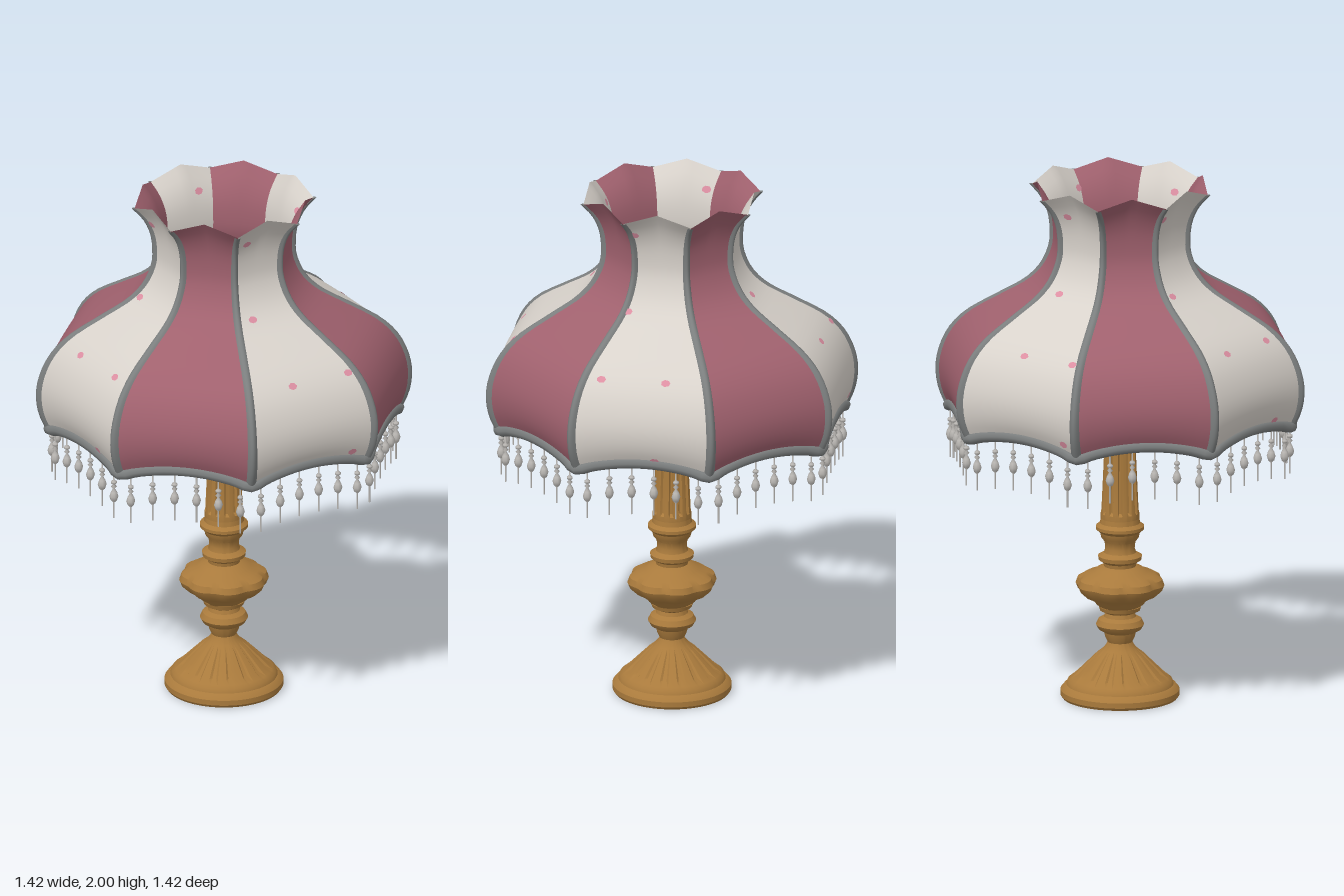
import * as THREE from 'three';
import { toCreasedNormals } from 'three/addons/utils/BufferGeometryUtils.js';

const mat = (name, color) => {
  const m = new THREE.MeshStandardMaterial({ color, side: THREE.DoubleSide });
  m.name = name;
  return m;
};
const SIDES = 8, STEP = Math.PI * 2 / SIDES;

// Shade profile at a corner: radius, height
const profile = new THREE.SplineCurve([
  [0.66, 1.08], [0.69, 1.15], [0.7, 1.23], [0.685, 1.31], [0.645, 1.39], [0.575, 1.46], [0.46, 1.53],
  [0.36, 1.59], [0.3, 1.65], [0.267, 1.72], [0.26, 1.78], [0.268, 1.85], [0.295, 1.91], [0.338, 1.958],
].map(([r, y]) => new THREE.Vector2(r, y)));

// Point on a panel: u across (0..1), v up (0..1); edges are scalloped
function panelPoint(k, u, v) {
  const p = profile.getPoint(v);
  const a = k * STEP, b = a + STEP;
  const s = (p.y - 1.08) / 0.878;
  const lift = 0.04 * 4 * u * (1 - u) * (1 - s) ** 4 + 0.042 * (1 - Math.abs(2 * u - 1)) * s ** 8;
  return new THREE.Vector3(
    p.x * THREE.MathUtils.lerp(Math.cos(a), Math.cos(b), u),
    p.y + lift,
    p.x * THREE.MathUtils.lerp(Math.sin(a), Math.sin(b), u));
}

// Surface from a point function, facing outward
function grid(fn, nu, nv) {
  const pos = [], idx = [];
  for (let j = 0; j <= nv; j++)
    for (let i = 0; i <= nu; i++) pos.push(...fn(i / nu, j / nv).toArray());
  for (let j = 0; j < nv; j++)
    for (let i = 0; i < nu; i++) {
      const a = j * (nu + 1) + i, c = a + nu + 1;
      idx.push(a, c, a + 1, a + 1, c, c + 1);
    }
  const g = new THREE.BufferGeometry();
  g.setAttribute('position', new THREE.Float32BufferAttribute(pos, 3));
  g.setIndex(idx);
  g.computeVertexNormals();
  return g;
}

// Turned shape; carve(angle, y) scales the radius for flutes and lobes
function turned(points, segments, carve) {
  const g = new THREE.LatheGeometry(points.map(([r, y]) => new THREE.Vector2(r, y)), segments);
  if (carve) {
    const p = g.attributes.position;
    for (let i = 0; i < p.count; i++) {
      const f = carve(Math.atan2(p.getZ(i), p.getX(i)), p.getY(i));
      p.setX(i, p.getX(i) * f);
      p.setZ(i, p.getZ(i) * f);
    }
  }
  return toCreasedNormals(g, 0.6);
}

export function createModel() {
  const cream = mat('cream fabric', 0xd8d2cb), rose = mat('rose fabric', 0xa0616e);
  const grey = mat('grey braid', 0x7b7e7e), gold = mat('antique gold', 0xa97a3c);
  const pink = mat('pink flower', 0xdc8fa2), glass = mat('bead glass', 0xbdbab6), bulbWhite = mat('bulb white', 0xdedad6);

  const model = new THREE.Group();
  model.name = 'tableLamp';
  const add = (name, geometry, material, parent = model) => {
    const m = new THREE.Mesh(geometry, material);
    m.name = name;
    parent.add(m);
    return m;
  };
  const shade = new THREE.Group();
  shade.name = 'shade';
  model.add(shade);

  // Panels and corner ribs
  for (let k = 0; k < SIDES; k++) {
    add('shadePanel', grid((u, v) => panelPoint(k, u, v), 10, 36), k % 2 ? cream : rose, shade);
    const a = k * STEP;
    add('cornerRib', grid((u, v) => {
      const w = u * 2 - 1, p = profile.getPoint(v);
      const half = THREE.MathUtils.lerp(0.021, 0.012, v);
      const r = p.x - Math.abs(w) * half * 0.383 + 0.011 * (1 - w ** 4);
      const t = w * half * 0.924;
      return new THREE.Vector3(r * Math.cos(a) - t * Math.sin(a), p.y, r * Math.sin(a) + t * Math.cos(a));
    }, 6, 36), grey, shade);
  }

  // Rolled braid along the lower edge
  const rim = [];
  for (let k = 0; k < SIDES; k++)
    for (let i = 0; i < 8; i++) rim.push(panelPoint(k, i / 8, 0).add(new THREE.Vector3(0, 0.004, 0)));
  add('rimBraid', new THREE.TubeGeometry(new THREE.CatmullRomCurve3(rim, true), 160, 0.022, 8, true), grey, shade);

  // Small flowers on the cream panels, inside and out: u, height
  const flower = new THREE.CircleGeometry(0.018, 7);
  const spots = [[0.8, 0.26], [0.6, 1.43], [0.08, 1.43], [0.75, 1.61], [0.78, 1.9], [0.16, 1.14]].slice(1);
  const shift = { 1: 0, 3: 0.1, 5: -0.06, 7: 0.25 };
  for (const k of [1, 3, 5, 7])
    for (const [u0, y] of spots) {
      const u = THREE.MathUtils.clamp(u0 + shift[k], 0.07, 0.93);
      let lo = 0, hi = 1;
      for (let n = 0; n < 20; n++) {
        const mid = (lo + hi) / 2;
        if (panelPoint(k, u, mid).y < y) lo = mid; else hi = mid;
      }
      const p = panelPoint(k, u, lo);
      const du = panelPoint(k, u + 0.01, lo).sub(p), dv = panelPoint(k, u, lo + 0.005).sub(p);
      const n = dv.cross(du).normalize();
      for (const s of [1, -1]) {
        const m = add('flower', flower, pink, shade);
        m.position.copy(p).addScaledVector(n, 0.003 * s);
        m.lookAt(m.position.clone().addScaledVector(n, s));
        m.scale.y = 0.8;
      }
    }

  // Bead fringe
  const strand = new THREE.LatheGeometry([
    [0.003, 0], [0.003, -0.03], [0.011, -0.037], [0.011, -0.044], [0.004, -0.05], [0.011, -0.058], [0.004, -0.066],
    [0.012, -0.08], [0.017, -0.097], [0.012, -0.113], [0.003, -0.122], [0.003, -0.185],
  ].map(([r, y]) => new THREE.Vector2(r, y)).reverse(), 8);
  for (let k = 0; k < SIDES; k++)
    for (let i = 0; i < 6; i++)
      add('beadStrand', strand, glass, shade).position.copy(panelPoint(k, (i + 0.5) / 6, 0)).add(new THREE.Vector3(0, -0.015, 0));

  // Fluted bell foot, open underneath
  const groove = (a, n, depth) => 1 - depth * (Math.cos(a * n) > 0.55 ? 1 : 0);
  add('foot', turned([
    [0.215, 0], [0.222, 0.01], [0.222, 0.03], [0.21, 0.045], [0.2, 0.05], [0.195, 0.065], [0.182, 0.075],
    [0.165, 0.09], [0.14, 0.115], [0.115, 0.14], [0.09, 0.165], [0.065, 0.185], [0.052, 0.2], [0.045, 0.215],
  ], 128, (a, y) => y > 0.08 && y < 0.17 ? groove(a, 16, 0.06) : 1), gold);

  // Stacked knops
  add('lowerKnop', turned([
    [0.045, 0.21], [0.055, 0.23], [0.06, 0.25], [0.08, 0.262], [0.09, 0.28], [0.08, 0.3], [0.06, 0.31],
    [0.055, 0.325], [0.075, 0.335], [0.08, 0.35],
  ], 48), gold);
  add('lobedKnop', turned([
    [0.075, 0.35], [0.09, 0.36], [0.1, 0.375], [0.135, 0.392], [0.16, 0.415], [0.168, 0.435], [0.16, 0.458],
    [0.13, 0.475], [0.1, 0.485], [0.085, 0.497], [0.06, 0.505],
  ], 96, (a, y) => y > 0.38 && y < 0.47 ? 1 - 0.06 * Math.abs(Math.sin(a * 4)) ** 3 : 1), gold);
  add('upperKnop', turned([
    [0.06, 0.505], [0.062, 0.518], [0.08, 0.53], [0.082, 0.545], [0.06, 0.558], [0.055, 0.575], [0.058, 0.6],
    [0.07, 0.615], [0.075, 0.635], [0.09, 0.648], [0.09, 0.66], [0.075, 0.672], [0.072, 0.69],
  ], 48), gold);

  // Fluted column
  add('column', turned([
    [0.072, 0.69], [0.072, 0.71], [0.07, 0.72], [0.064, 0.85], [0.058, 0.98], [0.054, 1.07], [0.054, 1.09],
  ], 96, (a, y) => y > 0.715 && y < 1.08 ? groove(a, 12, 0.14) : 1), gold);

  // Cup under the bulb
  add('cup', turned([
    [0.054, 1.08], [0.07, 1.09], [0.075, 1.105], [0.062, 1.12], [0.07, 1.135], [0.1, 1.15], [0.115, 1.175],
    [0.115, 1.195], [0.1, 1.215], [0.07, 1.225], [0.001, 1.225],
  ], 48), gold);

  // Bulb
  const bulb = [[0.05, 1.22], [0.052, 1.25], [0.065, 1.29], [0.085, 1.335]];
  for (let i = 0; i <= 12; i++) {
    const a = -0.5 + (Math.PI / 2 + 0.5) * i / 12;
    bulb.push([Math.max(0.0005, 0.11 * Math.cos(a)), 1.42 + 0.11 * Math.sin(a)]);
  }
  add('bulb', turned(bulb, 32), bulbWhite);

  return model;
}
